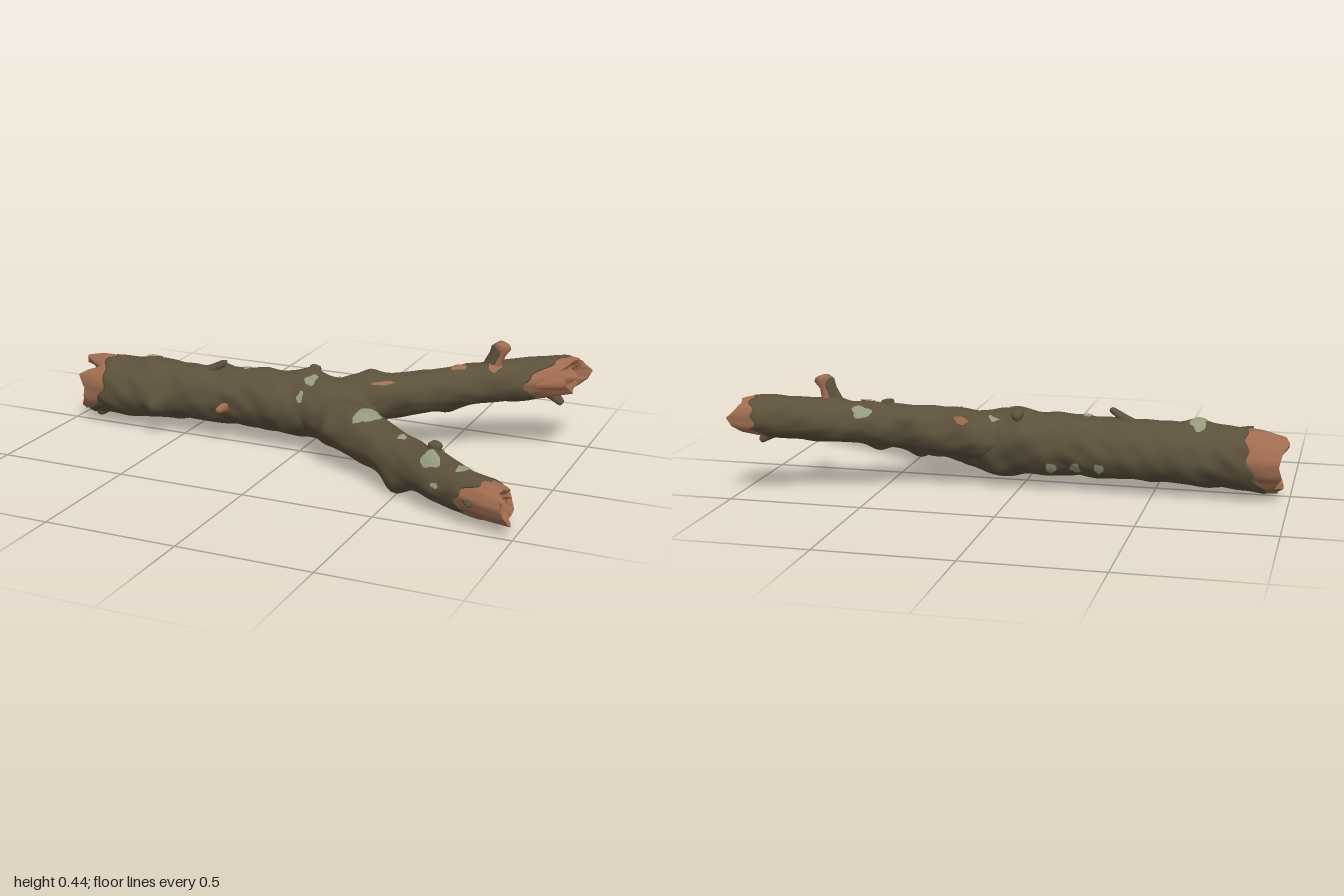
import * as THREE from 'three';
import { toCreasedNormals } from 'three/addons/utils/BufferGeometryUtils.js';

const bark = new THREE.MeshStandardMaterial({ color: 0x5c513b, side: THREE.DoubleSide });
bark.name = 'bark';
const wood = new THREE.MeshStandardMaterial({ color: 0xa06c4f, side: THREE.DoubleSide });
wood.name = 'bareWood';
const lichen = new THREE.MeshStandardMaterial({ color: 0x949b7b, side: THREE.DoubleSide });
lichen.name = 'lichen';

const TAU = Math.PI * 2, DEG = Math.PI / 180;

// Closed-loop grid: rows follow i, columns wrap round j; point(i, angle) gives each vertex
function loft(rows, cols, point) {
  const pos = [], index = [];
  for (let i = 0; i <= rows; i++) {
    for (let j = 0; j < cols; j++) pos.push(...point(i, (j / cols) * TAU).toArray());
  }
  for (let i = 0; i < rows; i++) {
    for (let j = 0; j < cols; j++) {
      const a = i * cols + j, b = i * cols + ((j + 1) % cols);
      index.push(a, a + cols, b, b, a + cols, b + cols);
    }
  }
  const g = new THREE.BufferGeometry();
  g.setAttribute('position', new THREE.Float32BufferAttribute(pos, 3));
  g.setIndex(index);
  g.computeVertexNormals();
  return g;
}

// Value from a table spread evenly round the circle
function around(table, angle) {
  const f = (((angle / TAU) % 1) + 1) % 1 * table.length, i = Math.floor(f);
  return THREE.MathUtils.lerp(table[i], table[(i + 1) % table.length], f - i);
}

// A limb is a centre line with radii; rows are [x, y, z, radius], knots are [x, degrees, height, width]
function makeLimb(rows, seed, knots) {
  const path = new THREE.CatmullRomCurve3(rows.map(r => new THREE.Vector3(r[0], r[1], r[2])), false, 'catmullrom');
  const size = new THREE.CatmullRomCurve3(rows.map(r => new THREE.Vector3(r[3], 0, 0)), false, 'catmullrom');
  const dir = Math.sign(rows[rows.length - 1][0] - rows[0][0]);
  const up = new THREE.Vector3(0, 1, 0);

  function point(x, angle, scale = 1, lift = 0) {
    let lo = 0, hi = 1;
    for (let k = 0; k < 22; k++) {
      const mid = (lo + hi) / 2;
      if ((path.getPoint(mid).x - x) * dir < 0) lo = mid; else hi = mid;
    }
    const t = path.getTangent(lo);
    const u = up.clone().addScaledVector(t, -t.y).normalize();
    const s = new THREE.Vector3().crossVectors(t, u);
    const base = size.getPoint(lo).x;
    let r = base * (1 + 0.025 * Math.sin(9 * x + 2 * angle + seed) + 0.02 * Math.sin(21 * x - angle + 2 * seed)
      + 0.02 * Math.sin(34 * x + 2 * Math.sin(2 * angle) + seed) + 0.012 * Math.sin(61 * x - 5 * angle)
      + 0.012 * Math.sin(9 * angle + 4 * Math.sin(12 * x)));
    for (const [kx, deg, h, w] of knots) {
      const da = Math.atan2(Math.sin(angle - deg * DEG), Math.cos(angle - deg * DEG)) * base;
      r += h * Math.exp(-((x - kx) ** 2 + da * da) / (w * w));
    }
    r = r * scale + lift;
    return path.getPoint(lo).addScaledVector(s, r * Math.cos(angle)).addScaledVector(u, r * Math.sin(angle));
  }
  return { start: rows[0][0], dir, point };
}

function add(group, name, geometry, material) {
  const mesh = new THREE.Mesh(geometry, material);
  mesh.name = name;
  group.add(mesh);
}

// Bark sleeve with a torn edge, and the splintered core that sticks out of it
function addLimb(group, name, limb, barkEnds, tips, core) {
  const { start, dir, point } = limb, rows = 100;
  add(group, name + 'Bark', loft(rows + 1, 48, (i, a) => {
    const end = around(barkEnds, a) + 0.008 * Math.sin(9 * a);
    return i > rows ? point(end, a, 0.9) : point(THREE.MathUtils.lerp(start, end, i / rows), a);
  }), bark);
  const end = a => around(barkEnds, a), tip = a => around(tips, a);
  const ridge = a => 1 + 0.03 * Math.sin(5 * a + 1) + 0.02 * Math.sin(11 * a);
  const rings = [
    a => [end(a) - 0.06 * dir, 0.88], a => [end(a), 0.94], a => [(end(a) + tip(a)) / 2, 0.93],
    a => [tip(a), 0.85], a => [tip(a) - 0.004 * dir, 0.68],
    a => [core + 0.02 * dir * Math.sin(3 * a + 1), 0.5], a => [core + 0.012 * dir * Math.sin(2 * a), 0.28],
    () => [core, 0.001],
  ];
  const g = loft(rings.length - 1, 48, (i, a) => {
    const [x, s] = rings[i](a);
    return point(x, a, s * ridge(a));
  });
  add(group, name + 'BrokenEnd', toCreasedNormals(g, 0.8), wood);
}

// Thin irregular patch that hugs the limb
function addPatch(group, name, limb, material, [x, deg, len, wide]) {
  add(group, name, loft(4, 18, (i, p) => {
    const k = (i / 4) * (1 + 0.14 * Math.sin(3 * p + x * 40) + 0.1 * Math.sin(5 * p + x * 70));
    return limb.point(x + limb.dir * len * k * Math.cos(p), deg * DEG + (wide * k * Math.sin(p)) / 0.09, 1, 0.004);
  }), material);
}

// Snapped side twig from base to tip
function addTwig(group, name, from, to, radius, material, flare = 0.85) {
  const a = new THREE.Vector3(...from), b = new THREE.Vector3(...to);
  const t = b.clone().sub(a).normalize();
  const s = new THREE.Vector3(0.3, 0.2, 1).cross(t).normalize(), u = s.clone().cross(t);
  const profile = [[0, 1.7], [0.35, 1.2], [0.65, 1], [0.88, flare], [0.97, flare * 0.75], [1, flare * 0.4], [1, 0.01]];
  add(group, name, loft(profile.length - 1, 12, (i, p) => {
    const r = radius * profile[i][1] * (1 + 0.1 * Math.sin(3 * p + i));
    return a.clone().lerp(b, profile[i][0]).addScaledVector(s, r * Math.cos(p)).addScaledVector(u, r * Math.sin(p));
  }), material);
}

export function createModel() {
  const group = new THREE.Group();
  group.name = 'forkedLog';

  const trunk = makeLimb([
    [0.3, 0.165, -0.03, 0.02], [0.23, 0.165, -0.045, 0.09], [0.05, 0.17, -0.068, 0.122], [-0.3, 0.165, -0.065, 0.111],
    [-0.6, 0.155, -0.053, 0.115], [-0.85, 0.147, -0.05, 0.117], [-1.1, 0.143, -0.062, 0.112],
  ], 0.7, [[-0.65, 95, 0.025, 0.06], [-0.6, 195, 0.035, 0.045], [0.0, 75, 0.02, 0.05], [-0.02, 20, 0.02, 0.05],
    [-0.1, 170, 0.015, 0.05], [-0.36, 60, 0.015, 0.035], [0.1, 270, 0.02, 0.07], [0.06, 310, 0.015, 0.05],
    [-0.3, 160, 0.012, 0.03], [0.2, 70, 0.025, 0.035]]);
  const backBranch = makeLimb([
    [0, 0.18, -0.1, 0.07], [0.2, 0.2, -0.125, 0.092], [0.4, 0.235, -0.185, 0.08], [0.6, 0.265, -0.29, 0.079],
    [0.8, 0.29, -0.375, 0.08], [1.1, 0.315, -0.485, 0.07],
  ], 2.1, [[0.25, 120, 0.02, 0.04], [0.44, 150, 0.02, 0.04], [0.5, 270, 0.02, 0.04], [0.66, 70, 0.015, 0.04], [0.38, 20, 0.015, 0.04]]);
  const frontBranch = makeLimb([
    [0, 0.16, -0.05, 0.08], [0.2, 0.15, 0.035, 0.1], [0.4, 0.125, 0.15, 0.09], [0.6, 0.11, 0.27, 0.081],
    [0.8, 0.1, 0.38, 0.076], [1.1, 0.09, 0.5, 0.067],
  ], 4.4, [[0.52, 297, 0.036, 0.045], [0.3, 60, 0.015, 0.05], [0.65, 90, 0.015, 0.04], [0.7, 0, 0.012, 0.04], [0.22, 0, 0.02, 0.05]]);

  // Torn edges and splinters, given as x positions round each limb
  addLimb(group, 'trunk', trunk,
    [-0.86, -0.85, -0.84, -0.84, -0.85, -0.83, -0.84, -0.88, -0.93, -0.95, -0.92, -0.89],
    [-0.97, -0.98, -1.0, -0.97, -0.89, -0.96, -0.93, -0.94, -0.97, -0.98, -0.95, -0.98], -0.91);
  addLimb(group, 'backBranch', backBranch,
    [0.76, 0.81, 0.88, 0.92, 0.94, 0.94, 0.93, 0.93, 0.88, 0.84, 0.83, 0.79],
    [0.9, 0.89, 0.93, 0.97, 0.97, 0.99, 1.02, 1.0, 0.95, 0.94, 0.94, 0.92], 0.94);
  addLimb(group, 'frontBranch', frontBranch,
    [0.81, 0.83, 0.88, 0.89, 0.89, 0.91, 0.92, 0.92, 0.91, 0.89, 0.85, 0.82],
    [0.98, 0.97, 0.95, 0.96, 0.95, 0.93, 0.94, 0.95, 0.95, 0.98, 1.0, 0.99], 0.94);

  // Snapped twigs and knots; the upright twig is bark outside and bare wood towards the tip
  addTwig(group, 'uprightTwigBark', [0.645, 0.31, -0.295], [0.693, 0.43, -0.295], 0.022, bark, 1.2);
  addTwig(group, 'uprightTwigWood', [0.668, 0.31, -0.3], [0.707, 0.438, -0.3], 0.022, wood, 1.5);
  addTwig(group, 'sideSplinter', [0.8, 0.28, -0.345], [0.94, 0.3, -0.335], 0.026, wood);
  addTwig(group, 'lowerTwig', [0.85, 0.25, -0.385], [0.92, 0.2, -0.39], 0.018, bark);
  addTwig(group, 'trunkTopTwig', [-0.42, 0.25, -0.05], [-0.33, 0.307, -0.04], 0.015, bark);
  addTwig(group, 'trunkFrontTwig', [-0.3, 0.15, 0.01], [-0.31, 0.145, 0.085], 0.016, wood);
  addTwig(group, 'forkBackKnot', [0, 0.23, -0.1], [0, 0.3, -0.16], 0.024, bark, 0.95);
  addTwig(group, 'trunkEndKnot', [-0.86, 0.08, -0.04], [-0.915, 0.022, -0.03], 0.025, bark);
  addTwig(group, 'frontBranchTopKnot', [0.64, 0.16, 0.28], [0.65, 0.225, 0.285], 0.024, bark, 1.1);
  addTwig(group, 'frontBranchTipTwig', [0.8, 0.1, 0.42], [0.845, 0.095, 0.49], 0.014, bark);

  // Lichen: [x, degrees, half length, half width]
  const lichens = [
    [trunk, [[-0.66, 80, 0.03, 0.032], [0.04, 112, 0.026, 0.022], [-0.25, 90, 0.015, 0.015], [0.02, 150, 0.014, 0.018],
      [-0.13, 323, 0.02, 0.02], [-0.22, 325, 0.02, 0.02], [-0.31, 330, 0.018, 0.018]]],
    [backBranch, [[0.1, 105, 0.026, 0.025], [0.58, 140, 0.03, 0.028]]],
    [frontBranch, [[0.33, 82, 0.034, 0.05], [0.5, 85, 0.016, 0.016], [0.67, 62, 0.036, 0.034], [0.63, 108, 0.024, 0.02],
      [0.78, 92, 0.022, 0.038], [0.73, 10, 0.014, 0.01]]],
  ];
  for (const [limb, spots] of lichens) for (const s of spots) addPatch(group, 'lichenPatch', limb, lichen, s);

  // Places where the bark has come away
  const bare = [[0.23, 140, 0.026, 0.012], [0.55, 78, 0.026, 0.022], [0.67, 60, 0.022, 0.03], [0.3, 50, 0.04, 0.008]];
  for (const s of bare) addPatch(group, 'bareWoodPatch', backBranch, wood, s);

  return group;
}
